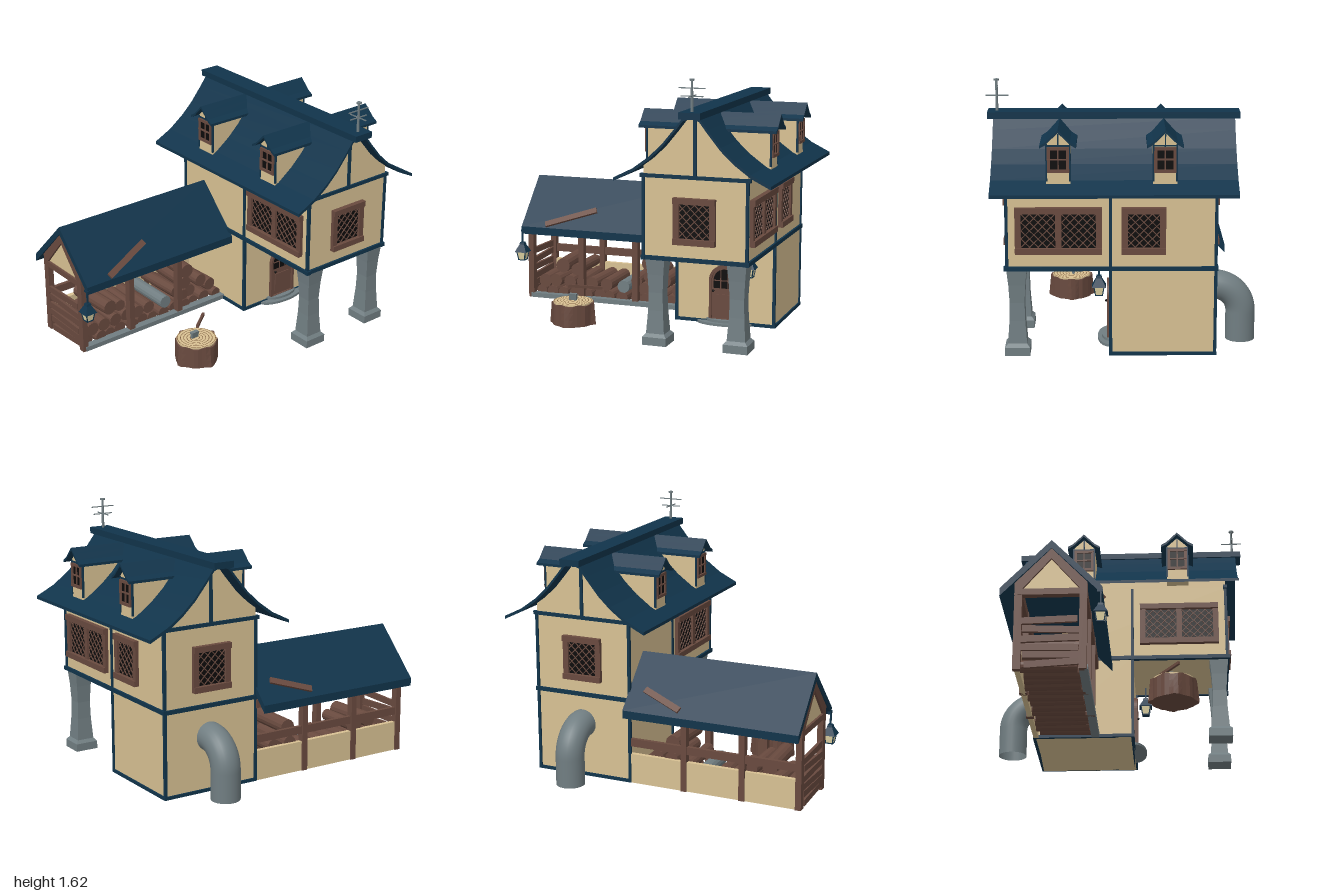
import * as THREE from 'three';

const mat = (color, flatShading = true, side = THREE.FrontSide) =>
  new THREE.MeshStandardMaterial({ color, flatShading, side });
const CREAM = mat(0xd8c193), NAVY = mat(0x11344b), BROWN = mat(0x694a3f), STONE = mat(0x717e82);
const DARK = mat(0x0c0b0b), PIPE = mat(0x717e82, false, THREE.DoubleSide), RING = mat(0x7a5a3c);
const GLASS = mat(0xe6d9a8), LOG = mat(0x694a3f);

function add(parent, name, geometry, material, x = 0, y = 0, z = 0) {
  const m = new THREE.Mesh(geometry, material);
  m.name = name;
  m.position.set(x, y, z);
  parent.add(m);
  return m;
}
const box = (p, name, material, w, h, d, x, y, z) =>
  add(p, name, new THREE.BoxGeometry(w, h, d), material, x, y, z);

// box given by its two limits on each axis
const span = (p, name, material, x0, x1, y0, y1, z0, z1) =>
  box(p, name, material, x1 - x0, y1 - y0, z1 - z0, (x0 + x1) / 2, (y0 + y1) / 2, (z0 + z1) / 2);

// bar running from a to b, its flat side facing up
function bar(p, name, material, a, b, w, h, up = [0, 1, 0]) {
  const A = new THREE.Vector3(...a), B = new THREE.Vector3(...b);
  const m = box(p, name, material, w, h, A.distanceTo(B), ...A.clone().lerp(B, 0.5).toArray());
  m.up.set(...up);
  m.lookAt(B);
  return m;
}

const shapeOf = pts => new THREE.Shape(pts.map(q => new THREE.Vector2(...q)));
const extrudeZ = (shape, z0, z1) =>
  new THREE.ExtrudeGeometry(shape, { depth: z1 - z0, bevelEnabled: false, curveSegments: 12 }).translate(0, 0, z0);
const extrudeX = (shape, x0, x1) => extrudeZ(shape, -x1, -x0).rotateY(-Math.PI / 2);

// half a roof line, mirrored, and closed as a shell of thickness t
const mirrored = half => [...half.slice(1).reverse().map(([d, y]) => [-d, y]), ...half];
const shell = (half, t) => {
  const top = mirrored(half);
  return shapeOf([...top, ...top.map(([d, y]) => [d, y - t]).reverse()]);
};

const MID = -0.51; // z of the house ridge
const ROOF = [[0, 1.42], [0.05, 1.4], [0.1, 1.335], [0.18, 1.238], [0.26, 1.163], [0.36, 1.09], [0.48, 1.03]];

// leaded window facing +z
function latticeWindow(w, h, panes) {
  const g = new THREE.Group(), f = 0.036, pw = (w - f * (panes + 1)) / panes, ph = h - 2 * f;
  g.name = 'latticeWindow';
  box(g, 'darkGlass', DARK, w - f, h - f, 0.006, 0, 0, 0.003);
  for (const s of [-1, 1]) box(g, 'windowRail', BROWN, w, f, 0.035, 0, s * (h - f) / 2, 0.015);
  for (let i = 0; i <= panes; i++) box(g, 'windowStile', BROWN, f, h - f, 0.024, -w / 2 + f / 2 + i * (pw + f), 0, 0.01);
  for (let i = 0; i < panes; i++) {
    const cx = -w / 2 + f + pw / 2 + i * (pw + f);
    for (let c = -0.4; c < 0.4; c += 0.05) {
      const a = Math.max(-pw / 2, -ph / 2 - c), b = Math.min(pw / 2, ph / 2 - c);
      if (b - a < 0.005) continue;
      for (const s of [-1, 1])
        bar(g, 'lattice', BROWN, [cx + s * a, a + c, 0.008], [cx + s * b, b + c, 0.008], 0.005, 0.005, [0, 0, 1]);
    }
  }
  return g;
}

function lantern(p, x, hang, top, z) {
  const g = new THREE.Group();
  g.name = 'lantern';
  const tier = (name, m, r0, r1, h, y) =>
    add(g, name, new THREE.CylinderGeometry(r0 * Math.SQRT2, r1 * Math.SQRT2, h, 4).rotateY(Math.PI / 4), m, 0, y, 0);
  span(g, 'lanternRod', NAVY, -0.005, 0.005, 0, hang - top, -0.005, 0.005);
  tier('lanternNeck', NAVY, 0.014, 0.018, 0.015, -0.005);
  tier('lanternCap', NAVY, 0.016, 0.042, 0.05, -0.037);
  tier('lanternGlass', GLASS, 0.03, 0.02, 0.052, -0.088);
  tier('lanternFoot', NAVY, 0.024, 0.024, 0.006, -0.116);
  for (const sx of [-1, 1]) for (const sz of [-1, 1])
    bar(g, 'lanternBar', NAVY, [sx * 0.03, -0.062, sz * 0.03], [sx * 0.021, -0.115, sz * 0.021], 0.006, 0.006, [1, 0, 0]);
  g.position.set(x, top, z);
  p.add(g);
}

// dormer built around the house ridge, facing +z
function dormer() {
  const g = new THREE.Group();
  g.name = 'dormer';
  add(g, 'dormerWall', extrudeZ(shapeOf([[-0.07, 1.06], [0.07, 1.06], [0.07, 1.31], [0, 1.375], [-0.07, 1.31]]), 0.1, 0.39), CREAM);
  add(g, 'dormerRoof', extrudeZ(shell([[0, 1.398], [0.035, 1.363], [0.07, 1.328], [0.105, 1.308]], 0.016), 0.06, 0.43), NAVY);
  for (const s of [-1, 1]) {
    box(g, 'dormerPost', NAVY, 0.01, 0.22, 0.012, s * 0.068, 1.2, 0.388);
    box(g, 'dormerStile', BROWN, 0.018, 0.145, 0.016, s * 0.055, 1.218, 0.394);
  }
  box(g, 'dormerGlass', DARK, 0.11, 0.13, 0.006, 0, 1.218, 0.39);
  for (const [y, h] of [[1.152, 0.018], [1.22, 0.008], [1.284, 0.018]]) box(g, 'dormerRail', BROWN, 0.128, h, 0.018, 0, y, 0.394);
  box(g, 'dormerMullion', BROWN, 0.008, 0.13, 0.014, 0, 1.218, 0.393);
  box(g, 'dormerKingPost', NAVY, 0.008, 0.08, 0.012, 0, 1.33, 0.389);
  box(g, 'dormerTie', NAVY, 0.14, 0.01, 0.012, 0, 1.3, 0.389);
  return g;
}

function buildHouse(p) {
  span(p, 'groundFloor', CREAM, -0.55, 0.07, 0.01, 0.55, -0.83, -0.19);
  span(p, 'upperFloor', CREAM, -0.55, 0.68, 0.54, 1.04, -0.83, -0.19);
  // timber framing
  for (const z of [-0.83, -0.19]) {
    for (const x of [-0.55, 0.07, 0.68]) span(p, 'cornerPost', NAVY, x - 0.009, x + 0.009, x > 0.5 ? 0.54 : 0.01, 1.04, z - 0.009, z + 0.009);
    span(p, 'floorBeam', NAVY, -0.565, 0.7, 0.535, 0.56, z - 0.014, z + 0.014);
    span(p, 'sillBeam', NAVY, -0.56, 0.08, 0.01, 0.03, z - 0.01, z + 0.01);
  }
  for (const x of [-0.55, 0.68]) {
    span(p, 'floorBeam', NAVY, x - 0.014, x + 0.014, 0.535, 0.56, -0.845, -0.175);
    span(p, 'gableBeam', NAVY, x - 0.012, x + 0.012, 1.03, 1.052, -0.85, -0.17);
    span(p, 'gablePost', NAVY, x - 0.01, x + 0.01, 1.04, 1.39, MID - 0.01, MID + 0.01);
  }
  for (const x of [-0.55, 0.07]) span(p, 'sillBeam', NAVY, x - 0.01, x + 0.01, 0.01, 0.03, -0.84, -0.18);
  // roof, gables and ridge
  const gable = mirrored([...ROOF.slice(0, 5), [0.32, 1.118]].map(([d, y]) => [d, y - 0.012]));
  add(p, 'gableWall', extrudeX(shapeOf([[-0.32, 1.02], ...gable, [0.32, 1.02]]), -0.55, 0.68), CREAM, 0, 0, MID);
  add(p, 'mainRoof', extrudeX(shell(ROOF, 0.02), -0.67, 0.765), NAVY, 0, 0, MID);
  span(p, 'ridgeCap', NAVY, -0.7, 0.8, 1.395, 1.435, MID - 0.066, MID + 0.066);
  for (const x of [-0.245, 0.37]) for (const back of [0, 1]) {
    const d = dormer();
    d.position.set(x, 0, MID);
    d.rotation.y = back * Math.PI;
    p.add(d);
  }
  // windows: width, panes, x, z, turn
  for (const [w, n, x, z, turn] of [[0.51, 2, 0.375, -0.19, 0], [0.51, 2, 0.375, -0.83, 2],
    [0.26, 1, -0.125, -0.83, 2], [0.26, 1, 0.68, MID, 1], [0.26, 1, -0.55, MID, -1]]) {
    const win = latticeWindow(w, 0.28, n);
    win.position.set(x, 0.78, z);
    win.rotation.y = turn * Math.PI / 2;
    p.add(win);
  }
  // stone pillars
  const prof = [[0, 0.01], [0.075, 0.01], [0.075, 0.06], [0.057, 0.08], [0.047, 0.22], [0.044, 0.33], [0.05, 0.44], [0.06, 0.54]];
  for (const z of [-0.262, -0.768]) add(p, 'pillar', new THREE.LatheGeometry(
    prof.map(([r, y]) => new THREE.Vector2(r * Math.SQRT2, y)), 4).rotateY(Math.PI / 4), STONE, 0.625, 0, z);
  // arched door with steps
  const arch = (w, y0, y1) => {
    const s = new THREE.Shape();
    s.moveTo(-w, y0).lineTo(w, y0).lineTo(w, y1).absarc(0, y1, w, 0, Math.PI, false).lineTo(-w, y0);
    return s;
  };
  const frame = arch(0.1, 0.04, 0.29);
  frame.holes.push(arch(0.083, 0.045, 0.29));
  add(p, 'doorFrame', extrudeX(frame, 0.06, 0.092), BROWN, 0, 0, MID);
  add(p, 'door', extrudeX(arch(0.086, 0.04, 0.29), 0.06, 0.08), BROWN, 0, 0, MID);
  add(p, 'doorGlass', extrudeX(arch(0.072, 0.24, 0.29), 0.06, 0.083), DARK, 0, 0, MID);
  box(p, 'doorPanel', BROWN, 0.012, 0.13, 0.12, 0.08, 0.135, MID);
  for (const z of [-0.024, 0.024]) box(p, 'doorMullion', BROWN, 0.006, 0.12, 0.006, 0.084, 0.3, MID + z);
  box(p, 'doorMullion', BROWN, 0.006, 0.006, 0.144, 0.084, 0.29, MID);
  add(p, 'doorKnob', new THREE.SphereGeometry(0.008, 10, 8), DARK, 0.097, 0.225, MID + 0.07);
  for (const [r, y, d] of [[0.18, 0.018, 0.08], [0.12, 0.034, 0.055]])
    add(p, 'doorStep', new THREE.CylinderGeometry(1, 1, 0.016, 24, 1, false, 0, Math.PI).scale(d, 1, r), STONE, 0.07, y, MID);
  lantern(p, 0.14, 0.54, 0.46, -0.69);
  // elbow pipe
  const path = new THREE.CurvePath();
  const V = (x, y) => new THREE.Vector3(x, y, -0.52);
  path.add(new THREE.LineCurve3(V(-0.725, 0.01), V(-0.725, 0.19)));
  path.add(new THREE.CubicBezierCurve3(V(-0.725, 0.19), V(-0.725, 0.282), V(-0.652, 0.355), V(-0.56, 0.355)));
  path.add(new THREE.LineCurve3(V(-0.56, 0.355), V(-0.53, 0.355)));
  add(p, 'elbowPipe', new THREE.TubeGeometry(path, 32, 0.09, 24), PIPE);
  // aerial
  add(p, 'aerialMast', new THREE.CylinderGeometry(0.007, 0.009, 0.2, 8), STONE, 0.745, 1.52, MID);
  add(p, 'aerialCap', new THREE.CylinderGeometry(0.016, 0.016, 0.01, 8), STONE, 0.745, 1.62, MID);
  box(p, 'aerialBar', STONE, 0.136, 0.006, 0.006, 0.743, 1.525, MID);
  for (const [y, l] of [[1.572, 0.16], [1.525, 0.135]]) box(p, 'aerialBar', STONE, 0.006, 0.006, l, 0.745, y, MID);
}

function buildWoodshed(p) {
  const C = -0.355;
  add(p, 'shedRoof', extrudeZ(shell([[0, 0.815], [0.295, 0.512]], 0.05), -0.19, 0.957), NAVY, C);
  const front = shapeOf([[-0.21, 0.47], [0.21, 0.47], [0.21, 0.545], [0, 0.765], [-0.21, 0.545]]);
  front.holes.push(new THREE.Path([[-0.165, 0.508], [0.165, 0.508], [0, 0.7]].map(q => new THREE.Vector2(...q))));
  add(p, 'shedGableFrame', extrudeZ(front, 0.905, 0.95), BROWN, C);
  add(p, 'shedGable', extrudeZ(shapeOf([[-0.18, 0.49], [0.18, 0.49], [0, 0.72]]), 0.915, 0.935), CREAM, C);
  for (const s of [-1, 1]) {
    for (const z of [0.93, 0.565, 0.18]) box(p, 'shedPost', BROWN, 0.045, 0.52, 0.038, C + s * 0.187, 0.27, z);
    span(p, 'topPlate', BROWN, C + s * 0.187 - 0.02, C + s * 0.187 + 0.02, 0.475, 0.53, -0.19, 0.91);
  }
  span(p, 'sideRail', BROWN, -0.555, -0.53, 0.25, 0.3, -0.19, 0.94);
  span(p, 'lowWall', CREAM, -0.555, -0.525, 0.01, 0.2, -0.19, 0.93);
  span(p, 'stoneCurb', STONE, -0.19, -0.14, 0.01, 0.04, -0.19, 0.93);
  // uneven front boards: height, tilt, shift
  for (const [y, tilt, dx] of [[0.312, 0.03, -0.01], [0.253, -0.04, 0.005], [0.198, 0.02, 0], [0.142, -0.03, -0.005], [0.095, -0.02, 0.01], [0.047, 0.06, 0.02]])
    box(p, 'frontBoard', BROWN, 0.33, 0.04, 0.018, C + dx, y, 0.94).rotation.z = tilt;
  // loose boards lying on the roof
  bar(p, 'looseBoard', BROWN, [-0.16, 0.635, 0.455], [-0.065, 0.535, 0.785], 0.04, 0.014, [1.03, 1, 0]);
  bar(p, 'looseBoard', BROWN, [-0.55, 0.632, -0.08], [-0.625, 0.555, 0.18], 0.04, 0.014, [-1.03, 1, 0]);
  // log piles: z, y, radius
  const logs = [[0.845, 0.12, 0.045], [0.72, 0.235, 0.048], [0.62, 0.21, 0.038], [0.755, 0.13, 0.043], [0.67, 0.125, 0.043],
    [0.585, 0.13, 0.04], [0.09, 0.295, 0.048], [0.09, 0.2, 0.043], [0.19, 0.17, 0.038], [0.13, 0.12, 0.042], [0.05, 0.13, 0.042],
    [-0.02, 0.19, 0.043], [-0.1, 0.125, 0.043], [0.4, 0.125, 0.042], [0.49, 0.13, 0.042]];
  for (let i = 0; i < 13; i++) logs.push([0.88 - i * 0.085, 0.05, 0.036 + 0.005 * (i % 2)]);
  logs.forEach(([z, y, r], i) => {
    const m = add(p, 'log', new THREE.CylinderGeometry(r, r, 0.33, 14).rotateZ(Math.PI / 2), LOG, C + 0.012 * Math.sin(i * 2.4), y, z);
    m.rotation.y = 0.05 * Math.sin(i * 1.7);
  });
  add(p, 'greyLog', new THREE.CylinderGeometry(0.042, 0.042, 0.33, 14).rotateZ(Math.PI / 2), STONE, C + 0.01, 0.125, 0.275);
  span(p, 'lanternBracket', NAVY, -0.09, -0.055, 0.475, 0.49, 0.94, 0.962);
  lantern(p, -0.068, 0.48, 0.4, 0.955);
}

function buildStump(p) {
  const g = new THREE.Group();
  g.name = 'choppingStump';
  g.position.set(0.335, 0, 0.418);
  // bark flares into four roots and has a ragged rim
  const bark = new THREE.CylinderGeometry(0.132, 0.134, 0.135, 32, 3);
  const pos = bark.attributes.position;
  for (let i = 0; i < pos.count; i++) {
    const x = pos.getX(i), z = pos.getZ(i), y = pos.getY(i), a = Math.atan2(z, x), t = 0.5 - y / 0.135;
    const k = 1 + 0.17 * Math.max(0, Math.cos(4 * a + 0.3)) ** 4 * (0.4 + 0.6 * t) + 0.02 * Math.sin(11 * a);
    pos.setXYZ(i, x * k, y + (Math.hypot(x, z) > 0.1 && t < 0.1 ? 0.006 * Math.sin(7 * a) : 0), z * k);
  }
  add(g, 'stumpBark', bark, BROWN, 0, 0.0675, 0);
  add(g, 'stumpTop', new THREE.CylinderGeometry(0.126, 0.126, 0.01, 32), CREAM, 0, 0.138, 0);
  for (let r = 0.018; r < 0.125; r += 0.02)
    add(g, 'growthRing', new THREE.RingGeometry(r, r + 0.004, 28).rotateX(-Math.PI / 2), RING, 0, 0.1445, 0);
  bar(g, 'axeHandle', BROWN, [-0.075, 0.3, -0.15], [-0.01, 0.155, 0.02], 0.016, 0.018);
  add(g, 'axeHead', extrudeZ(shapeOf([[-0.014, 0.185], [0.014, 0.185], [0.006, 0.135], [-0.006, 0.135]]), -0.02, 0.03), STONE, -0.012, 0, 0);
  p.add(g);
}

export function createModel() {
  const root = new THREE.Group();
  root.name = 'timberHouse';
  for (const [name, build] of [['house', buildHouse], ['woodshed', buildWoodshed], ['stump', buildStump]]) {
    const g = new THREE.Group();
    g.name = name;
    build(g);
    root.add(g);
  }
  return root;
}
